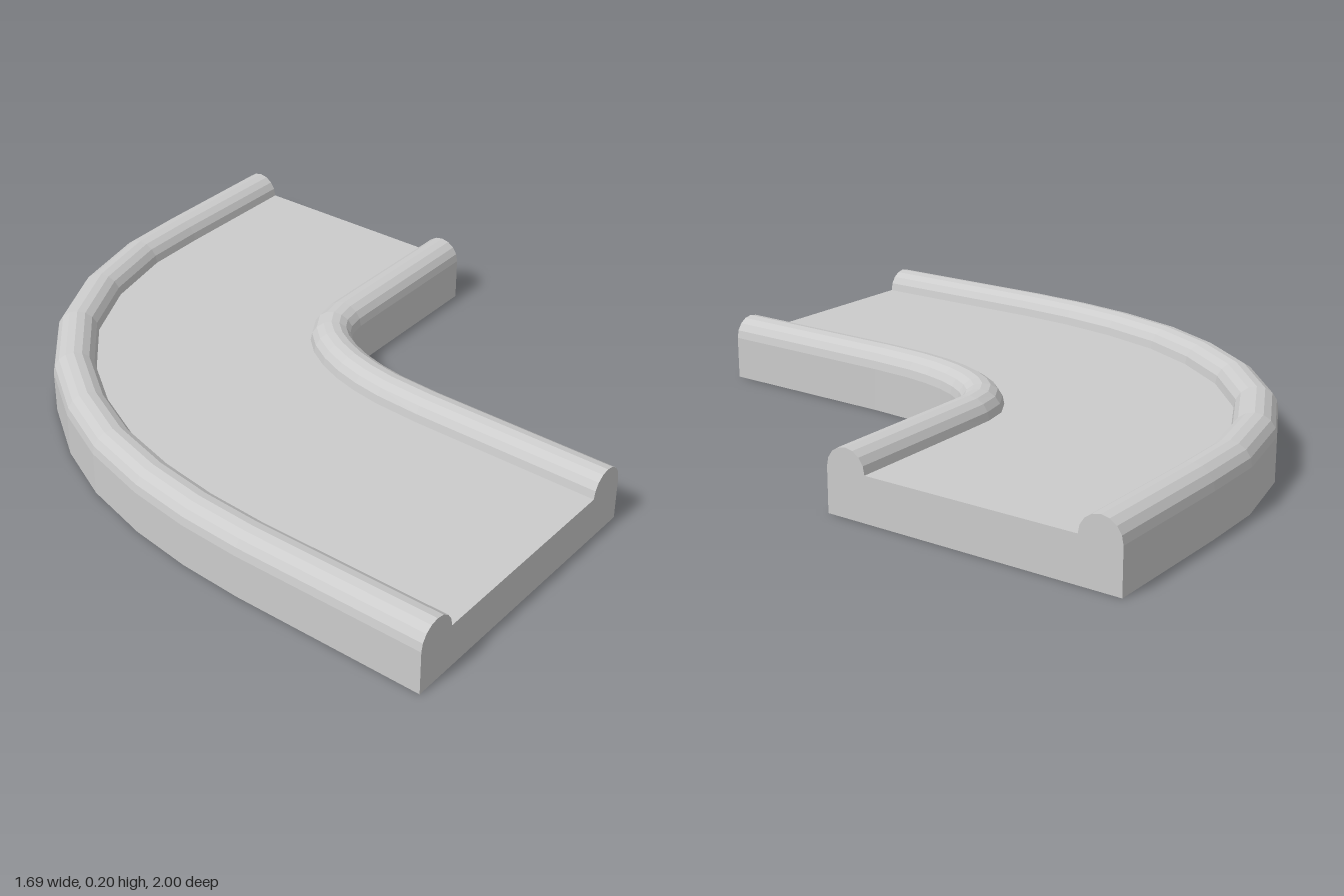
import * as THREE from 'three';

const R = 0.065;      // rim radius
const FLOOR = 0.135;  // height of the channel floor
const ARC = 8;        // facets over each rounded rim

// Plan outlines (x, z) of the two side walls, with matching stations
const OUTER = [[-0.845, 1], [-0.842, 0.4], [-0.83, 0.2], [-0.8, 0], [-0.74, -0.22], [-0.645, -0.42],
  [-0.505, -0.62], [-0.31, -0.8], [-0.075, -0.92], [0.185, -0.983], [0.4, -0.993], [0.845, -1]];
const INNER = [[0.087, 1], [0.092, 0.4], [0.1, 0.26], [0.113, 0.18], [0.132, 0.11], [0.157, 0.05],
  [0.187, 0], [0.217, -0.033], [0.25, -0.053], [0.3, -0.062], [0.4, -0.064], [0.845, -0.07]];

// Unit normal pointing from the outer wall towards the inner one; ends stay square
function normalAt(path, i) {
  if (i === 0) return new THREE.Vector2(1, 0);
  if (i === path.length - 1) return new THREE.Vector2(0, 1);
  const [a, b, c] = [path[i - 1], path[i], path[i + 1]].map(p => new THREE.Vector2(...p));
  const t = b.clone().sub(a).normalize().add(c.sub(b).normalize()).normalize();
  return new THREE.Vector2(-t.y, t.x);
}

// Cross-section ring: outer wall, outer rim, floor, inner rim, inner wall
function ringAt(i) {
  const ring = [];
  const add = (p, n, s, y) => ring.push([p[0] + n.x * s, y, p[1] + n.y * s]);
  const no = normalAt(OUTER, i), ni = normalAt(INNER, i);
  add(OUTER[i], no, 0, 0);
  for (const [p, n, shift] of [[OUTER[i], no, R], [INNER[i], ni, -R]]) {
    for (let k = 0; k <= ARC; k++) {
      const a = Math.PI * k / ARC;
      add(p, n, shift - R * Math.cos(a), FLOOR + R * Math.sin(a));
    }
  }
  add(INNER[i], ni, 0, 0);
  return ring;
}

function sweptTrack() {
  const rings = OUTER.map((_, i) => ringAt(i));
  const m = rings[0].length, last = m - 1;
  const index = [];

  // Skin between neighbouring rings, including the underside
  for (let i = 0; i < rings.length - 1; i++) {
    for (let j = 0; j < m; j++) {
      const k = (j + 1) % m;
      const a = i * m + j, b = i * m + k, c = b + m, d = a + m;
      index.push(a, b, c, a, c, d);
    }
  }

  // End caps: one fan per rim and two triangles below the floor
  const cap = [];
  for (let k = 1; k <= ARC; k++) cap.push([0, k, k + 1]);
  cap.push([0, ARC + 1, ARC + 2], [0, ARC + 2, last]);
  for (let k = ARC + 2; k < last - 1; k++) cap.push([last, k, k + 1]);
  const end = (rings.length - 1) * m;
  for (const [a, b, c] of cap) index.push(a, c, b, end + a, end + b, end + c);

  const g = new THREE.BufferGeometry();
  g.setAttribute('position', new THREE.Float32BufferAttribute(rings.flat(2), 3));
  g.setIndex(index);
  const flat = g.toNonIndexed();
  flat.computeVertexNormals();
  return flat;
}

export function createModel() {
  const group = new THREE.Group();
  group.name = 'curvedTrack';
  const track = new THREE.Mesh(sweptTrack(),
    new THREE.MeshStandardMaterial({ color: 0xcccccc, flatShading: true }));
  track.name = 'rimmedTrackBed';
  group.add(track);
  return group;
}
